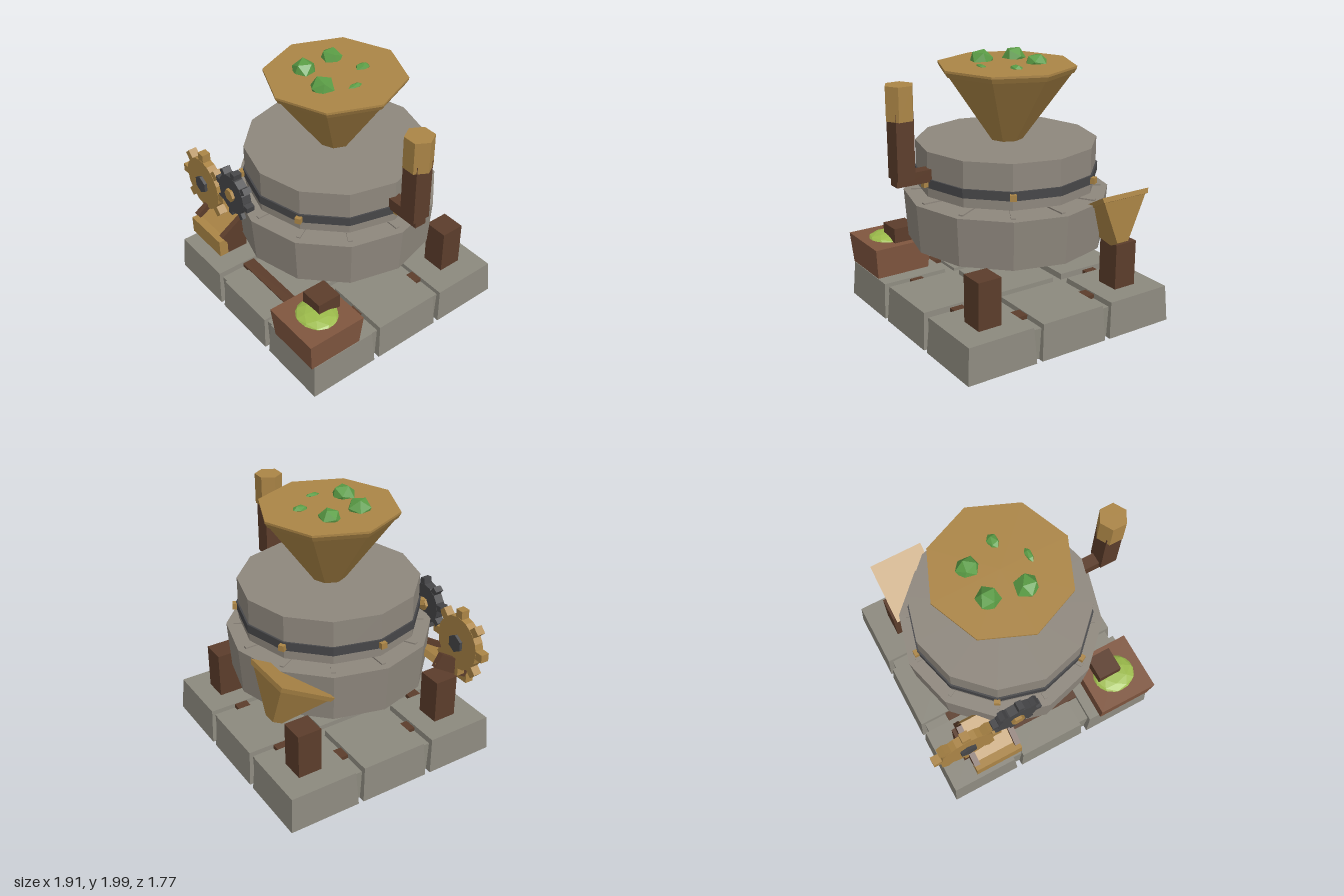
import * as THREE from 'three';

const mat = (name, color) => new THREE.MeshStandardMaterial({ name, color, flatShading: true });

export function createModel() {
  const tileStone = mat('tile stone', 0x8c897e);
  const millStone = mat('mill stone', 0x8e877d);
  const wood = mat('dark wood', 0x5c3d2b);
  const crateWood = mat('crate wood', 0x80563f);
  const brass = mat('brass', 0xab8546);
  const iron = mat('iron', 0x464648);
  const green = mat('leaf green', 0x5a9c45);
  const lime = mat('lime', 0x9cbb4b);

  const root = new THREE.Group();
  root.name = 'grindingMill';

  const add = (name, geo, material, x = 0, y = 0, z = 0, parent = root) => {
    const m = new THREE.Mesh(geo, material);
    m.name = name;
    m.position.set(x, y, z);
    parent.add(m);
    return m;
  };
  const group = (name, x = 0, y = 0, z = 0, parent = root) => {
    const g = new THREE.Group();
    g.name = name;
    g.position.set(x, y, z);
    parent.add(g);
    return g;
  };
  const box = (w, h, d) => new THREE.BoxGeometry(w, h, d);
  // Four-sided block whose top and bottom differ in size
  const taperedBox = (wTop, dTop, wBottom, dBottom, h) => {
    const g = box(1, h, 1);
    const p = g.attributes.position;
    for (let i = 0; i < p.count; i++) {
      const top = p.getY(i) > 0;
      p.setX(i, p.getX(i) * (top ? wTop : wBottom));
      p.setZ(i, p.getZ(i) * (top ? dTop : dBottom));
    }
    return g;
  };

  // Base: core slab with a 3 x 3 grid of paving blocks
  const base = group('base');
  add('baseCore', box(1.66, 0.23, 1.66), tileStone, -0.015, 0.12, -0.005, base);
  const xs = [-0.615, -0.017, 0.585], zs = [-0.6, -0.005, 0.592];
  const heights = [[0.275, 0.272, 0.27], [0.28, 0.27, 0.28], [0.28, 0.257, 0.272]];
  zs.forEach((z, r) => xs.forEach((x, c) => {
    const h = heights[r][c];
    add('pavingBlock', taperedBox(0.52, 0.52, 0.555, 0.555, h), tileStone, x, h / 2, z, base);
  }));

  // Timber frame: four posts joined by sunken beams
  const frame = group('timberFrame');
  for (const s of [-1, 1]) {
    add('crossBeam', box(1.2, 0.06, 0.1), wood, -0.015, 0.235, s * 0.6 - 0.015, frame);
    add('sideBeam', box(0.1, 0.056, 1.2), wood, s * 0.6 - 0.015, 0.235, -0.015, frame);
    for (const t of [-1, 1]) {
      add('post', box(0.185, 0.6, 0.185), wood, s * 0.595 - 0.018, 0.325, t * 0.595 - 0.015, frame);
    }
  }

  // Millstones
  const mill = group('millstones', -0.015, 0, -0.015);
  add('lowerStone', new THREE.CylinderGeometry(0.76, 0.735, 0.36, 12), millStone, 0, 0.8, 0, mill);
  add('upperStone', new THREE.CylinderGeometry(0.665, 0.665, 0.33, 12), millStone, 0, 1.195, 0, mill);
  add('ironBand', new THREE.CylinderGeometry(0.678, 0.678, 0.065, 12), iron, 0, 1.133, 0, mill);
  for (let i = 0; i < 12; i++) {
    const spoke = group('spoke', 0, 0, 0, mill);
    spoke.rotation.y = i * Math.PI / 6;
    add('grindingRib', box(0.28, 0.014, 0.032), millStone, 0.565, 0.983, 0, spoke);
    if (i % 2 === 0) add('bandStud', box(0.045, 0.045, 0.045), brass, 0.683, 1.13, 0, spoke);
  }

  // Feed hopper heaped with crystals
  const hopper = group('hopper', -0.015, 0, -0.015);
  add('hopperCone', new THREE.CylinderGeometry(0.485, 0.115, 0.52, 8), brass, 0, 1.61, 0, hopper);
  add('hopperRim', new THREE.CylinderGeometry(0.508, 0.488, 0.035, 8), brass, 0, 1.877, 0, hopper);
  add('hopperLip', new THREE.CylinderGeometry(0.508, 0.508, 0.016, 8), brass, 0, 1.902, 0, hopper);
  const crystals = [
    [-0.2, -0.125, 0.09, 0.075, 0.08, 0.4], [-0.18, 0.13, 0.09, 0.09, 0.092, 1.1],
    [0.08, 0.17, 0.092, 0.09, 0.092, 2.0], [0.037, -0.215, 0.045, 0.03, 0.062, 0.2],
    [0.2, -0.015, 0.028, 0.02, 0.062, 0],
  ];
  for (const [x, z, sx, sy, sz, turn] of crystals) {
    const geo = new THREE.IcosahedronGeometry(1, 0).rotateX(0.55).rotateY(turn);
    add('crystal', geo, green, x, 1.907, z).scale.set(sx, sy, sz);
  }

  // Crank handle
  const crank = group('crank', 0, 0, -0.012);
  add('crankArm', box(0.3, 0.09, 0.09), wood, 0.76, 1.195, 0, crank);
  add('crankPost', box(0.135, 0.47, 0.14), wood, 0.847, 1.435, 0, crank);
  const grip = new THREE.CylinderGeometry(0.104, 0.104, 0.24, 6).rotateY(Math.PI / 6);
  add('crankGrip', grip, brass, 0.848, 1.738, 0, crank);

  // Gears facing the front
  const makeGear = (name, x, y, r, tip, width, sides, turn, hubR, body, hub) => {
    const g = group(name, x, y, 0.7);
    const disc = (radius, depth, n) =>
      new THREE.CylinderGeometry(radius, radius, depth, n).rotateX(Math.PI / 2);
    add('gearDisc', disc(r, 0.07, sides), body, 0, 0, 0, g);
    add('gearHub', disc(hubR, 0.115, 6).rotateZ(Math.PI / 6 + Math.PI / 6 * (hub === iron)), hub, 0, 0, 0, g);
    for (let i = 0; i < 8; i++) {
      const a = turn + i * Math.PI / 4;
      const len = tip - r + 0.03;
      const mid = tip - len / 2;
      const tooth = add('gearTooth', box(len, width, 0.066), body, Math.cos(a) * mid, Math.sin(a) * mid, 0, g);
      tooth.rotation.z = a;
    }
  };
  makeGear('largeGear', -0.682, 0.907, 0.212, 0.272, 0.064, 16, 0, 0.07, brass, iron);
  makeGear('smallGear', -0.28, 1.05, 0.157, 0.2, 0.045, 16, -0.17, 0.052, iron, brass);

  // Output chute at the front: sloping tray between rails, ending in a lip
  const chute = group('outputChute', -0.49, 0.71, 0.655);
  chute.rotation.x = 0.56;
  add('chuteTray', box(0.35, 0.05, 0.34), brass, 0, -0.01, 0, chute);
  for (const s of [-1, 1]) add('chuteRail', box(0.045, 0.115, 0.34), wood, s * 0.17, 0, 0, chute);
  add('chuteLip', box(0.38, 0.135, 0.07), brass, -0.49, 0.573, 0.823);

  // Tilted side funnel at the back
  const funnel = group('sideFunnel', -0.49, 0.95, -0.607);
  funnel.rotation.x = Math.PI / 6;
  add('funnelBody', taperedBox(0.38, 0.43, 0.1, 0.08, 0.29), brass, 0, -0.175, 0, funnel);
  add('funnelRim', taperedBox(0.42, 0.472, 0.4, 0.45, 0.035), brass, 0, -0.0175, 0, funnel);

  // Crate holding ground produce
  const crate = group('crate', 0.625, 0, 0.66);
  add('crateBox', taperedBox(0.47, 0.465, 0.43, 0.425, 0.24), crateWood, 0, 0.39, 0, crate);
  const heap = add('crateHeap', new THREE.IcosahedronGeometry(1, 1).rotateY(0.3), lime, 0, 0.5, 0, crate);
  heap.scale.set(0.175, 0.048, 0.155);

  return root;
}
